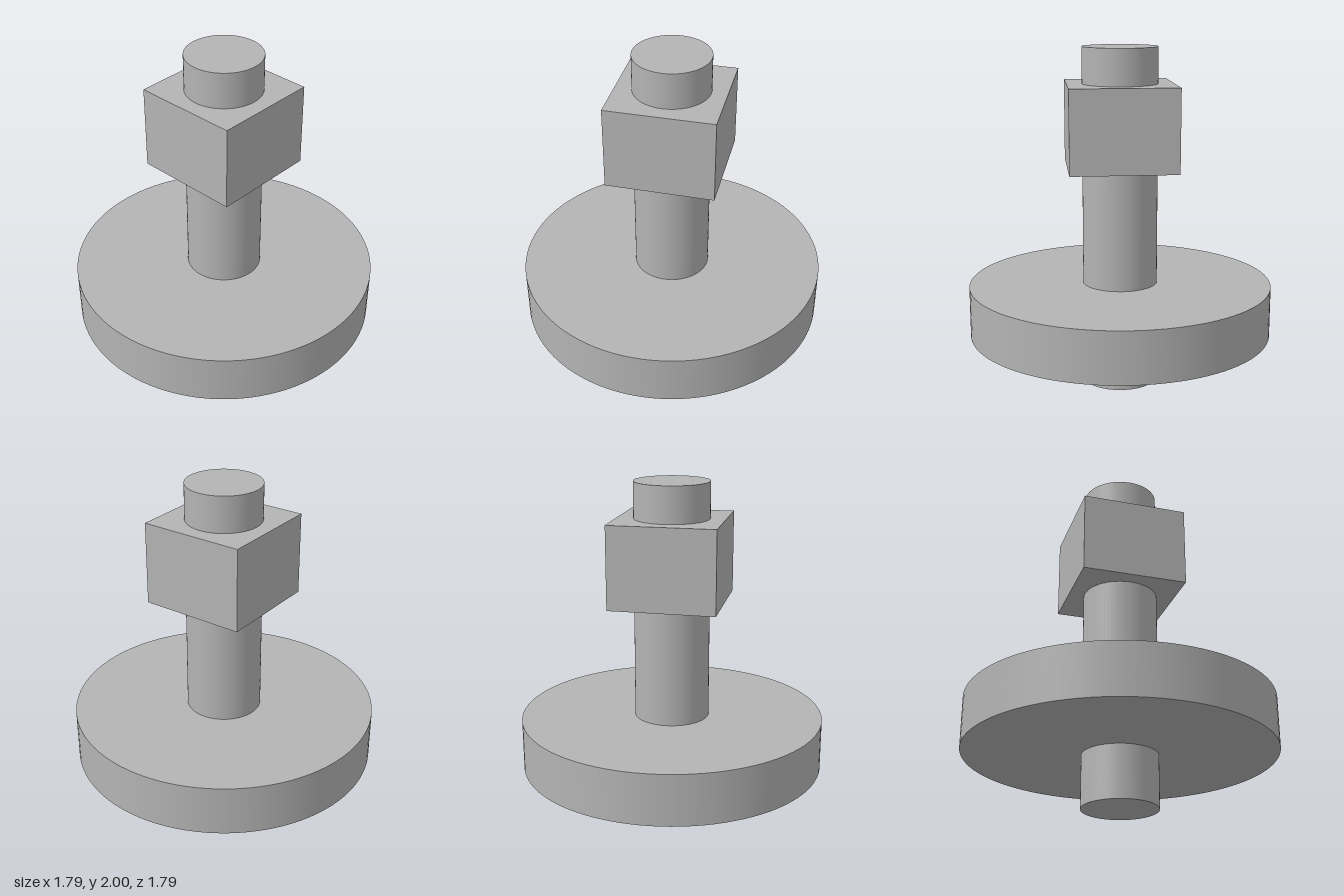
import * as THREE from 'three';

export function createModel() {
  const model = new THREE.Group();
  model.name = 'flangedShaft';

  const metal = new THREE.MeshStandardMaterial({ color: 0xb4b4b4 });
  metal.name = 'plain grey metal';

  // Place a part so that its underside sits at the given height
  const add = (name, geometry, bottom, height) => {
    const mesh = new THREE.Mesh(geometry, metal);
    mesh.name = name;
    mesh.position.y = bottom + height / 2;
    model.add(mesh);
  };

  // Round shaft running the full height
  add('shaft', new THREE.CylinderGeometry(0.22, 0.22, 2, 64), 0, 2);

  // Wide disc near the foot
  add('flangeDisc', new THREE.CylinderGeometry(0.895, 0.895, 0.3, 96), 0.308, 0.3);

  // Square block near the top
  add('squareBlock', new THREE.BoxGeometry(0.62, 0.483, 0.62), 1.306, 0.483);

  return model;
}
